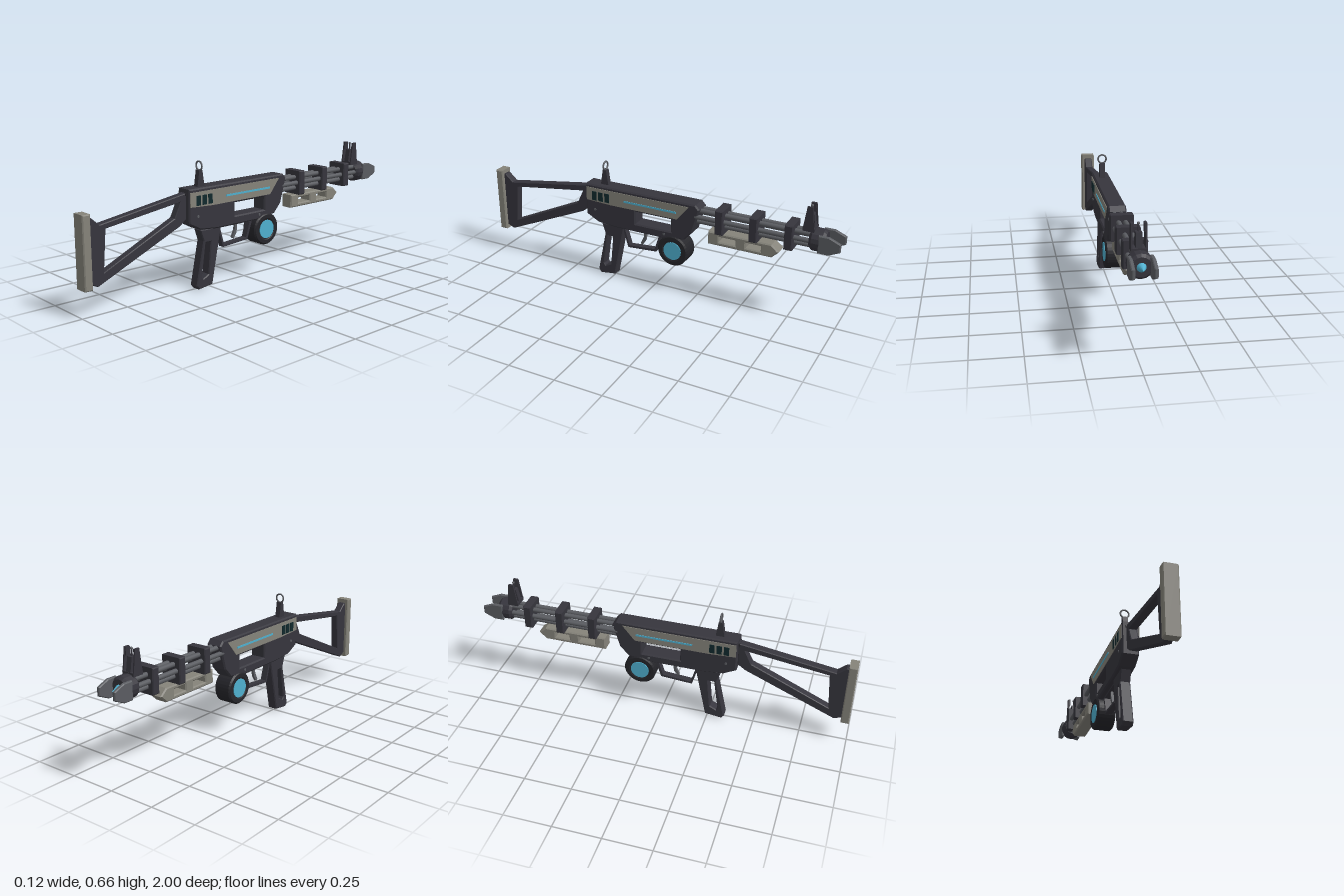
import * as THREE from 'three';

const mat = (name, color) => Object.assign(new THREE.MeshStandardMaterial({ color }), { name });

export function createModel() {
  const root = new THREE.Group();
  root.name = 'rifle';
  const dark = mat('charcoal', 0x36353d);
  const black = mat('black rubber', 0x25252a);
  const tan = mat('warm grey', 0x85837a);
  const steel = mat('gunmetal', 0x5a5c61);
  const cyan = mat('cyan glow', 0x4fb0cf);
  const vent = mat('dark teal', 0x10292d);

  const add = (name, geo, material, x = 0, y = 0, z = 0, parent = root) => {
    const m = new THREE.Mesh(geo, material);
    m.name = name;
    m.position.set(x, y, z);
    parent.add(m);
    return m;
  };
  const box = (w, h, d) => new THREE.BoxGeometry(w, h, d);
  const pts = (list) => list.map(([z, y]) => new THREE.Vector2(z, y));

  // Side profile given as [z, y] points, extruded across x and centred on x = 0
  const profile = (outline, width, bevel = 0, holes = []) => {
    const shape = new THREE.Shape(pts(outline));
    holes.forEach((h) => shape.holes.push(new THREE.Path(pts(h))));
    const depth = width - 2 * bevel;
    const g = new THREE.ExtrudeGeometry(shape, {
      depth, bevelEnabled: bevel > 0, bevelSize: bevel, bevelThickness: bevel,
      bevelOffset: -bevel, bevelSegments: 1,
    });
    return g.translate(0, 0, -depth / 2).rotateY(-Math.PI / 2);
  };
  const rect = (z0, z1, y0, y1) => [[z0, y0], [z1, y0], [z1, y1], [z0, y1]];

  // Stock and butt plate
  add('buttPlate', profile(rect(0.957, 1, 0.137, 0.497), 0.077, 0.005), tan);
  add('stock', profile(
    [[0.96, 0.475], [0.945, 0.475], [0.9, 0.435], [0.4, 0.512], [0.4, 0.38], [0.44, 0.35], [0.92, 0.142], [0.96, 0.16]],
    0.043, 0.004,
    [[[0.868, 0.412], [0.435, 0.472], [0.472, 0.395], [0.885, 0.205]]]), dark);

  // Receiver with the opening through it
  add('receiver', profile(
    [[0.4, 0.532], [-0.245, 0.532], [-0.268, 0.508], [-0.23, 0.375], [-0.185, 0.325], [-0.08, 0.308],
      [0.22, 0.308], [0.33, 0.318], [0.4, 0.355]],
    0.09, 0.007, [rect(-0.108, 0.1, 0.355, 0.425)]), dark);
  add('rearCap', box(0.05, 0.012, 0.01), black, 0, 0.505, 0.402);

  // Painted side details, mirrored
  for (const s of [1, -1]) {
    const side = new THREE.Group();
    side.name = s > 0 ? 'leftSideDetails' : 'rightSideDetails';
    root.add(side);
    add('sidePanel', profile([[0.394, 0.515], [-0.21, 0.515], [-0.145, 0.435], [0.25, 0.435], [0.394, 0.442]], 0.006),
      tan, s * 0.0455, 0, 0, side);
    add('lightStrip', box(0.004, 0.01, 0.305), cyan, s * 0.049, 0.472, 0.013, side);
    for (const z of [0.345, 0.307, 0.269]) add('vent', box(0.004, 0.05, 0.027), vent, s * 0.049, 0.471, z, side);
    for (const [z, y] of [[0.345, 0.39], [-0.07, 0.335]]) {
      add('rivet', new THREE.CylinderGeometry(0.007, 0.007, 0.006, 10).rotateZ(Math.PI / 2), steel, s * 0.045, y, z, side);
    }
  }

  // Pistol grip with slot
  add('grip', profile(
    [[0.317, 0.31], [0.18, 0.31], [0.188, 0.27], [0.24, 0.012], [0.33, 0], [0.345, 0.02], [0.297, 0.25]],
    0.056, 0.005,
    [[[0.283, 0.24], [0.25, 0.24], [0.266, 0.07], [0.3, 0.052], [0.308, 0.065]]]), dark);

  // Trigger and guard
  add('triggerGuard', profile(
    [[0.195, 0.312], [-0.045, 0.312], [-0.01, 0.205], [0.16, 0.193]], 0.034, 0,
    [[[0.18, 0.3], [-0.026, 0.3], [0, 0.217], [0.152, 0.205]]]), dark);
  add('trigger', profile(
    [[0.088, 0.312], [0.065, 0.312], [0.07, 0.27], [0.088, 0.23], [0.078, 0.222], [0.058, 0.252], [0.052, 0.312]].reverse(),
    0.014), steel);

  // Drum magazine, turned about the x axis
  const rim = pts([[0, -0.047], [0.055, -0.047], [0.06, -0.05], [0.078, -0.05], [0.086, -0.042],
    [0.086, 0.042], [0.078, 0.05], [0.06, 0.05], [0.055, 0.047], [0, 0.047]]);
  const drum = new THREE.LatheGeometry(rim, 32).toNonIndexed();
  drum.computeVertexNormals();
  add('drum', drum.rotateZ(Math.PI / 2), black, 0, 0.248, -0.12);
  add('drumGlow', new THREE.CylinderGeometry(0.05, 0.05, 0.102, 32).rotateZ(Math.PI / 2), cyan, 0, 0.248, -0.12);

  // Barrel cluster and clamps
  const axisY = 0.467;
  for (let i = 0; i < 6; i++) {
    const a = (i * Math.PI) / 3;
    add('barrel', new THREE.CylinderGeometry(0.0125, 0.0125, 0.62, 14).rotateX(Math.PI / 2), steel,
      0.034 * Math.cos(a), axisY + 0.034 * Math.sin(a), -0.55);
  }
  for (const z of [-0.38, -0.562, -0.743]) {
    add('barrelClamp', profile(rect(-0.0215, 0.0215, -0.066, 0.066), 0.116, 0.005), dark, 0, axisY, z);
  }

  // Fore-end under the barrels
  add('foreEnd', profile(
    [[-0.315, 0.402], [-0.655, 0.402], [-0.695, 0.368], [-0.657, 0.331], [-0.315, 0.331]], 0.074, 0.006,
    [rect(-0.465, -0.375, 0.352, 0.381), rect(-0.6, -0.52, 0.352, 0.381)]), tan);

  // Muzzle collar, prongs and emitter
  const collar = new THREE.LatheGeometry(
    pts([[0, -0.04], [0.046, -0.04], [0.058, -0.026], [0.058, 0.026], [0.046, 0.04], [0, 0.04]]), 16).toNonIndexed();
  collar.computeVertexNormals();
  add('muzzleCollar', collar.rotateX(Math.PI / 2), dark, 0, axisY, -0.88);
  for (const s of [1, -1]) {
    add('muzzleProng', profile(
      [[-0.89, 0.512], [-0.943, 0.512], [-1, 0.488], [-1, 0.446], [-0.943, 0.42], [-0.89, 0.42]], 0.018, 0.004),
    steel, s * 0.049, 0, 0);
  }
  add('emitter', new THREE.ConeGeometry(0.022, 0.045, 12).rotateX(-Math.PI / 2), cyan, 0, axisY, -0.942);

  // Rear ring sight
  add('rearSightPost', profile([[0.323, 0.528], [0.277, 0.528], [0.29, 0.614], [0.31, 0.614]], 0.028), dark);
  add('rearSightRing', new THREE.TorusGeometry(0.0225, 0.0045, 8, 28), steel, 0, 0.635, 0.3);

  // Front sight: stalk, pin and two protective ears
  add('frontSightStalk', profile([[-0.803, 0.515], [-0.862, 0.515], [-0.848, 0.6], [-0.818, 0.6]], 0.028), dark);
  add('frontSightStem', box(0.005, 0.04, 0.008), dark, 0, 0.615, -0.833);
  add('frontSightPin', new THREE.SphereGeometry(0.007, 10, 8), steel, 0, 0.636, -0.833);
  for (const s of [1, -1]) {
    add('frontSightEar', profile([[-0.803, 0.515], [-0.862, 0.515], [-0.846, 0.641], [-0.82, 0.641]], 0.007), dark, s * 0.032);
    add('frontSightEarPad', box(0.005, 0.04, 0.026), dark, s * 0.026, 0.62, -0.833);
  }
  add('frontSightBase', box(0.071, 0.018, 0.058), dark, 0, 0.522, -0.833);
  return root;
}
